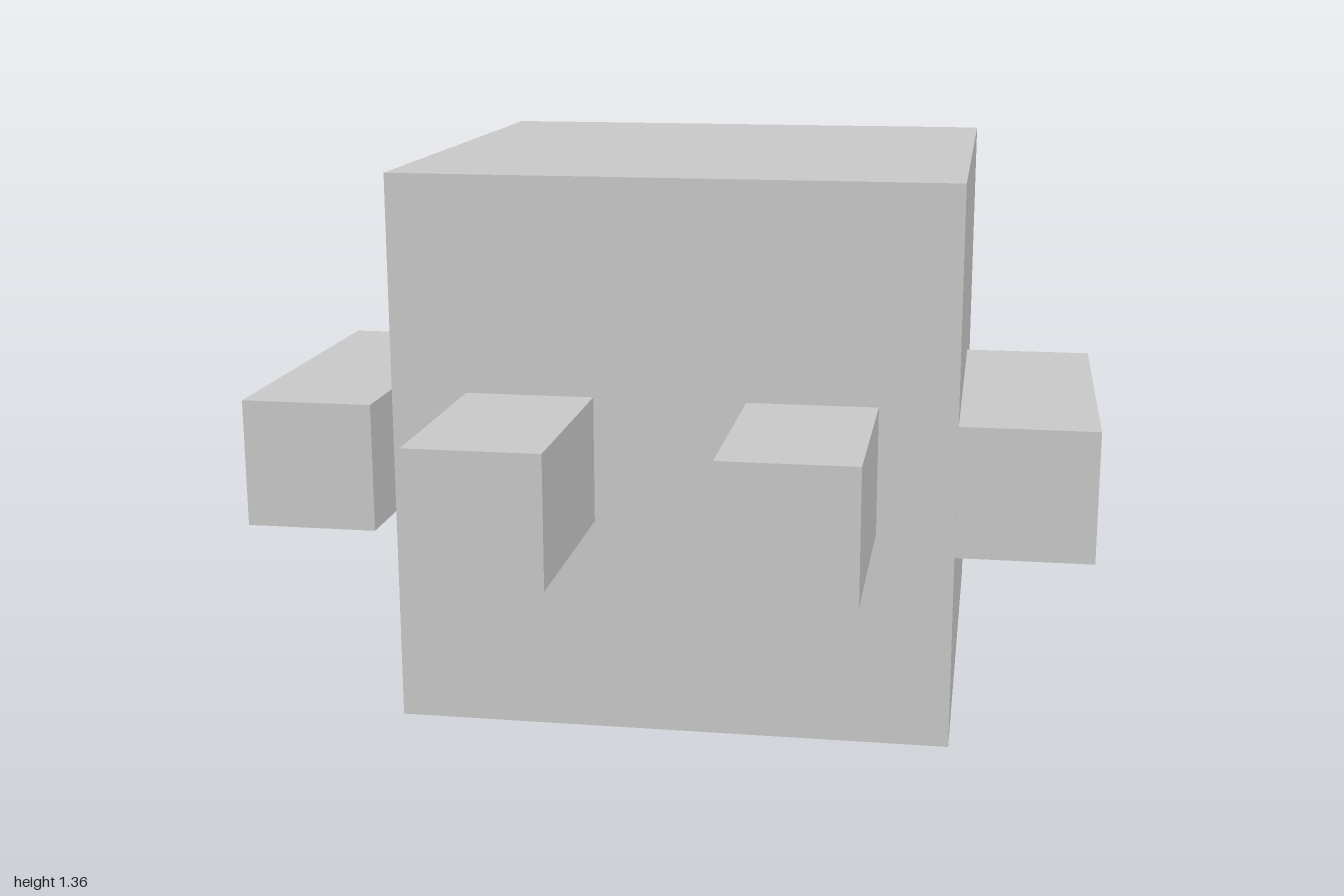
import * as THREE from 'three';

const material = new THREE.MeshStandardMaterial({ color: 0xcccccc, flatShading: true });

// Box given by its lower and upper limits on each axis
function block(name, [x0, x1], [y0, y1], [z0, z1]) {
  const mesh = new THREE.Mesh(new THREE.BoxGeometry(x1 - x0, y1 - y0, z1 - z0), material);
  mesh.position.set((x0 + x1) / 2, (y0 + y1) / 2, (z0 + z1) / 2);
  mesh.name = name;
  return mesh;
}

export function createModel() {
  const model = new THREE.Group();
  model.name = 'blockFigure';

  // Cubic body
  model.add(block('body', [-0.682, 0.682], [0, 1.364], [-0.95, 0.414]));

  // Mirrored limbs: arms along the sides, legs out of the front
  const limbHeight = [0.53, 0.838];
  for (const [side, s] of [['left', 1], ['right', -1]]) {
    const span = (a, b) => (s > 0 ? [a, b] : [-b, -a]);
    model.add(block(side + 'Arm', span(0.685, 1), limbHeight, [-0.288, 0.573]));
    model.add(block(side + 'Leg', span(0.184, 0.496), limbHeight, [0.412, 0.95]));
  }
  return model;
}
